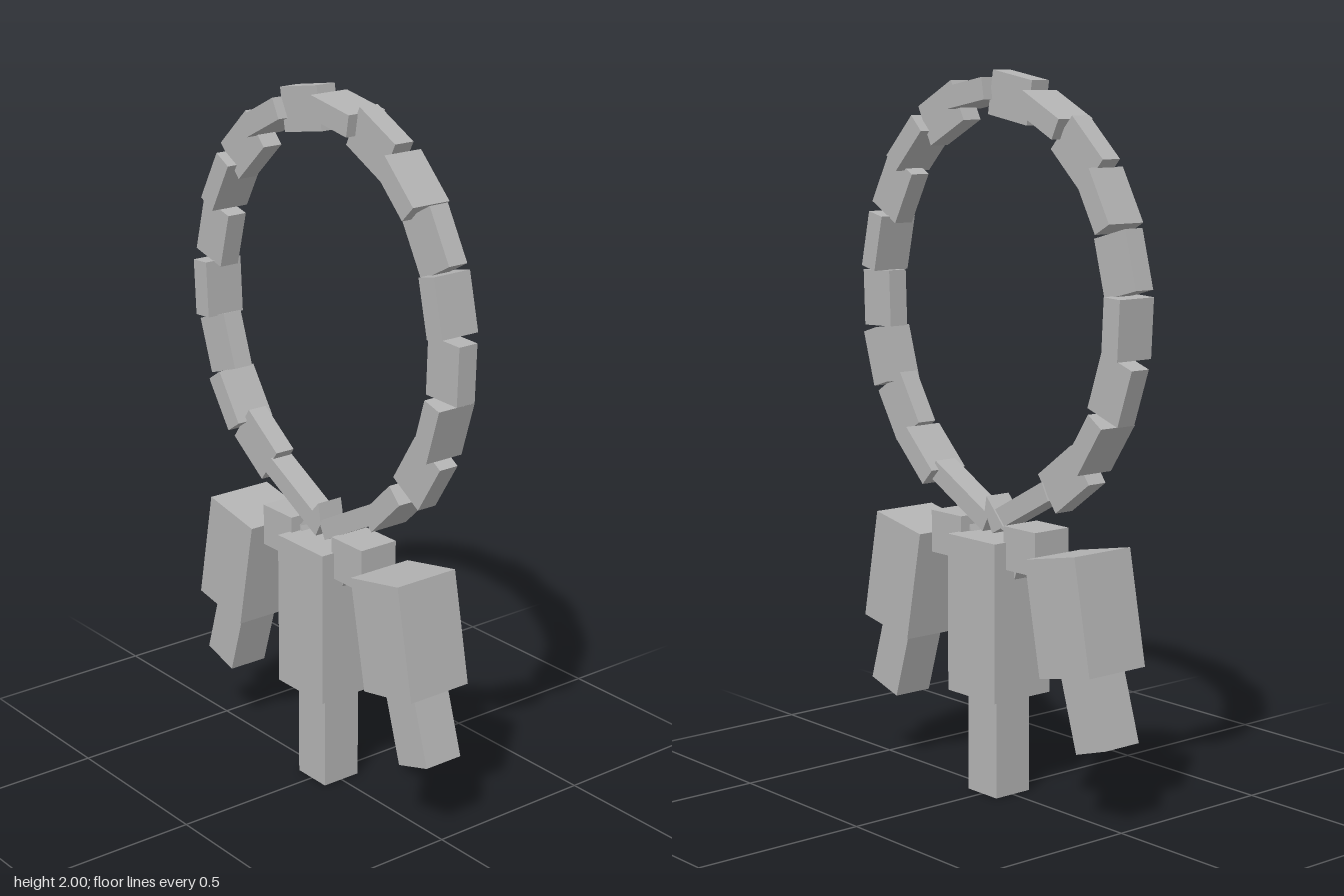
import * as THREE from 'three';

export function createModel() {
  const model = new THREE.Group();
  model.name = 'pendantNecklace';
  const gray = new THREE.MeshStandardMaterial({ color: 0xb4b4b4 });
  gray.name = 'stone gray';

  // Box centred at (x, y), tilted by deg in the front plane
  function block(name, x, y, deg, w, h, d, parent = model) {
    const mesh = new THREE.Mesh(new THREE.BoxGeometry(w, h, d), gray);
    mesh.name = name;
    mesh.position.set(x, y, 0);
    mesh.rotation.z = THREE.MathUtils.degToRad(deg);
    parent.add(mesh);
    return mesh;
  }

  // Chain, clockwise from lower left: flat beads alternate with edge-on ones
  const chain = new THREE.Group();
  chain.name = 'chain';
  model.add(chain);
  const beads = [
    [-0.297, 0.927, -36], [-0.405, 1.035, -56],
    [-0.473, 1.185, -71], [-0.507, 1.345, -87],
    [-0.49, 1.508, 75], [-0.434, 1.667, 61],
    [-0.343, 1.783, 43], [-0.222, 1.882, 27],
    [-0.08, 1.925, 10], [0.075, 1.935, -10],
    [0.21, 1.88, -27], [0.338, 1.795, -45],
    [0.43, 1.667, -61], [0.487, 1.515, -77],
    [0.503, 1.35, 88], [0.475, 1.185, 73],
    [0.407, 1.045, 58], [0.297, 0.92, 44],
  ];
  beads.forEach(([x, y, deg], i) => {
    const flat = i % 2 === 0;
    block(flat ? 'flatBead' : 'edgeBead', x, y, deg,
      0.16, flat ? 0.12 : 0.06, flat ? 0.06 : 0.12, chain);
  });

  // Long links meeting at the bottom of the chain
  block('leftClosingLink', 0.13, 0.825, 28, 0.26, 0.055, 0.07, chain);
  block('rightClosingLink', -0.115, 0.825, -28, 0.26, 0.055, 0.07, chain);

  // Small pointed knot where the links cross
  const knotShape = new THREE.Shape([
    new THREE.Vector2(-0.08, 0.75),
    new THREE.Vector2(0.015, 0.79),
    new THREE.Vector2(0.005, 0.842),
  ]);
  const knotGeometry = new THREE.ExtrudeGeometry(knotShape, { depth: 0.08, bevelEnabled: false });
  knotGeometry.translate(0, 0, -0.04);
  const knot = new THREE.Mesh(knotGeometry, gray);
  knot.name = 'knot';
  model.add(knot);

  // Central pendant
  block('centerPendant', 0, 0.508, 0, 0.2, 0.445, 0.2);
  block('centerPendantTip', 0, 0.15, 0, 0.12, 0.3, 0.12);

  // Side pendants, spacers and hidden ties
  for (const s of [-1, 1]) {
    block('sidePendant', s * 0.352, 0.571, s * 11, 0.2, 0.32, 0.2);
    block('sidePendantTip', s * 0.409, 0.333, s * 17, 0.12, 0.24, 0.12);
    block('spacer', s * 0.155, 0.715, 0, 0.13, 0.12, 0.12);
    block('tie', s * 0.09, 0.675, s * 66, 0.15, 0.06, 0.06);
  }

  return model;
}
